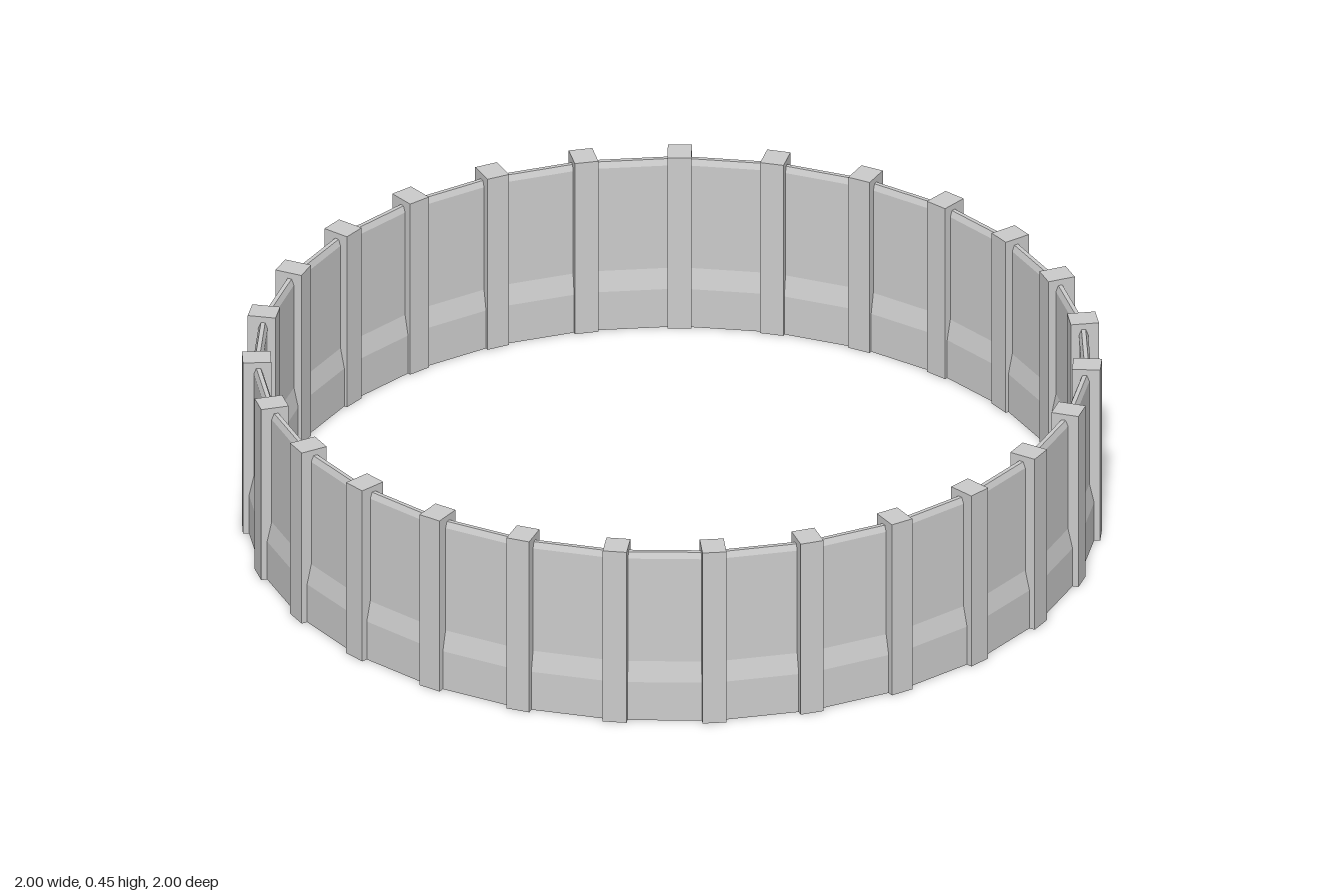
import * as THREE from 'three';

const COUNT = 27;      // posts and wall panels around the ring
const RADIUS = 0.966;  // centre line of the wall
const HEIGHT = 0.45;

export function createModel() {
  const model = new THREE.Group();
  model.name = 'ribbedRing';
  const material = new THREE.MeshStandardMaterial({ color: 0xcccccc, flatShading: true });

  // Wall: half thickness by height, thick at the foot and chamfered at the rim
  const half = [[0.022, 0], [0.022, 0.1], [0.011, 0.15], [0.011, 0.42], [0.005, 0.435]];
  const outer = half.map(([t, y]) => new THREE.Vector2(RADIUS + t, y));
  const inner = half.map(([t, y]) => new THREE.Vector2(RADIUS - t, y)).reverse();
  const profile = [...outer, ...inner, outer[0].clone()];
  const wall = new THREE.Mesh(new THREE.LatheGeometry(profile, COUNT, Math.PI), material);
  wall.name = 'wall';
  model.add(wall);

  // Posts: one upright at each corner of the wall, starting at the back
  const postGeometry = new THREE.BoxGeometry(0.056, HEIGHT, 0.066);
  const posts = new THREE.Group();
  posts.name = 'posts';
  for (let i = 0; i < COUNT; i++) {
    const angle = Math.PI + (i / COUNT) * Math.PI * 2;
    const post = new THREE.Mesh(postGeometry, material);
    post.name = 'post';
    post.position.set(RADIUS * Math.sin(angle), HEIGHT / 2, RADIUS * Math.cos(angle));
    post.rotation.y = angle;
    posts.add(post);
  }
  model.add(posts);

  model.rotation.y = 0.006;
  return model;
}
